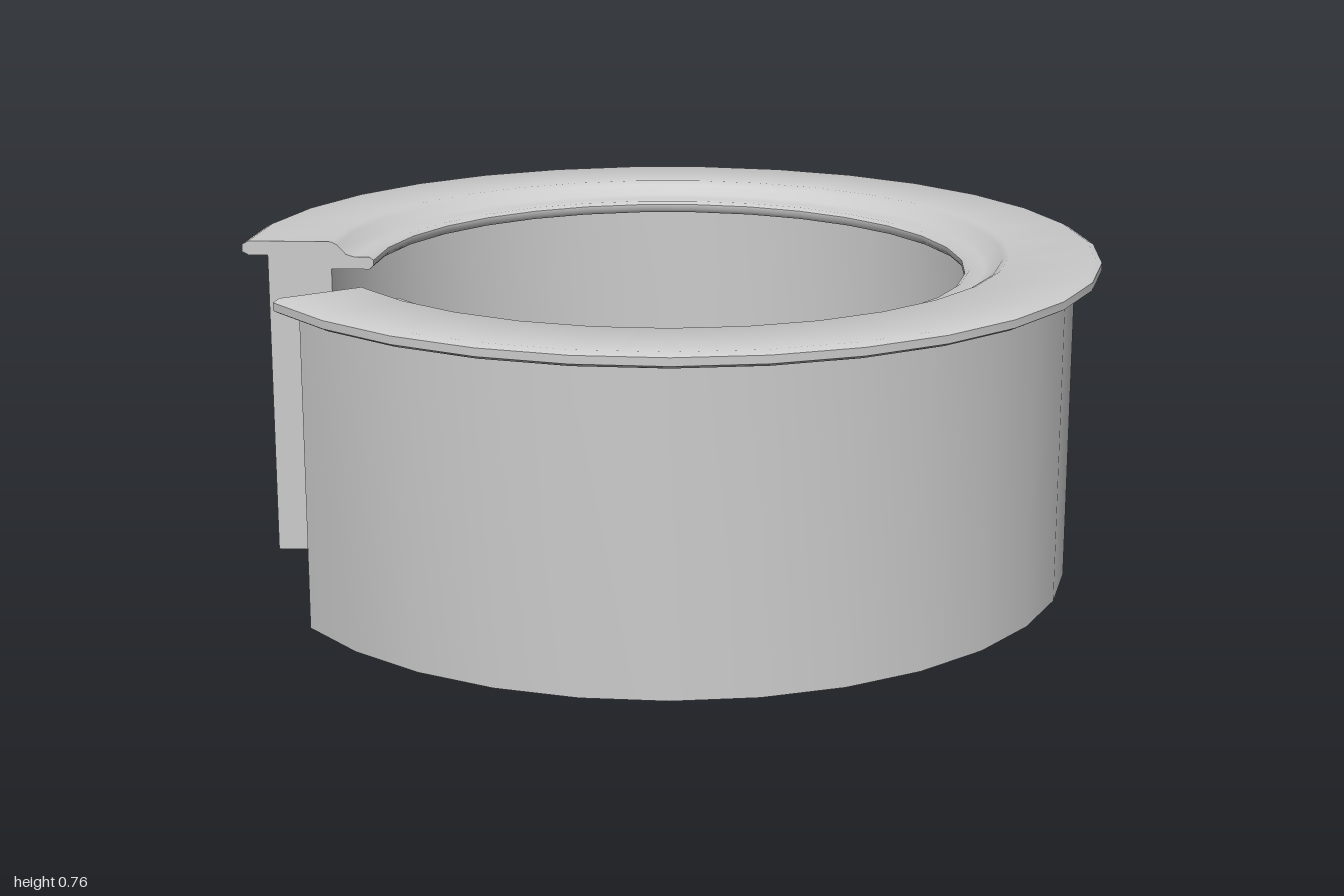
import * as THREE from 'three';
import { mergeGeometries, toCreasedNormals } from 'three/addons/utils/BufferGeometryUtils.js';

const START = THREE.MathUtils.degToRad(116.2); // gap edges, measured from +x toward +z
const END = THREE.MathUtils.degToRad(151.5);
const SEGMENTS = 28;

// Sweeps a closed counter-clockwise (radius, height) profile around the open ring and caps both ends
function openRing(name, profile, material) {
  const points = profile.map(([r, y]) => new THREE.Vector2(r, y));
  const sweep = new THREE.LatheGeometry(
    [...points, points[0].clone()], SEGMENTS,
    Math.PI / 2 - START, Math.PI * 2 - (END - START));

  const startCap = new THREE.ShapeGeometry(new THREE.Shape(points)).rotateY(-START);
  const mirrored = points.map((p) => new THREE.Vector2(-p.x, p.y));
  const endCap = new THREE.ShapeGeometry(new THREE.Shape(mirrored)).rotateY(Math.PI - END);

  const merged = mergeGeometries([sweep, startCap, endCap].map((g) => g.toNonIndexed()));
  const mesh = new THREE.Mesh(toCreasedNormals(merged, 0.9), material);
  mesh.name = name;
  return mesh;
}

export function createModel() {
  const group = new THREE.Group();
  group.name = 'splitFlangedBushing';
  const material = new THREE.MeshStandardMaterial({ color: 0xcccccc });

  // Thick upright sleeve with a gap at the front right
  group.add(openRing('sleeve', [
    [0.79, 0], [0.94, 0], [0.94, 0.74], [0.79, 0.74],
  ], material));

  // Flat overhanging rim that dips to a lower lip on the inside
  group.add(openRing('rim', [
    [0.69, 0.705], [0.7, 0.695], [0.8, 0.695], [0.82, 0.726],
    [0.985, 0.726], [1, 0.734], [1, 0.752], [0.985, 0.76],
    [0.79, 0.76], [0.775, 0.752], [0.755, 0.73], [0.735, 0.724],
    [0.7, 0.724], [0.69, 0.717],
  ], material));

  return group;
}
